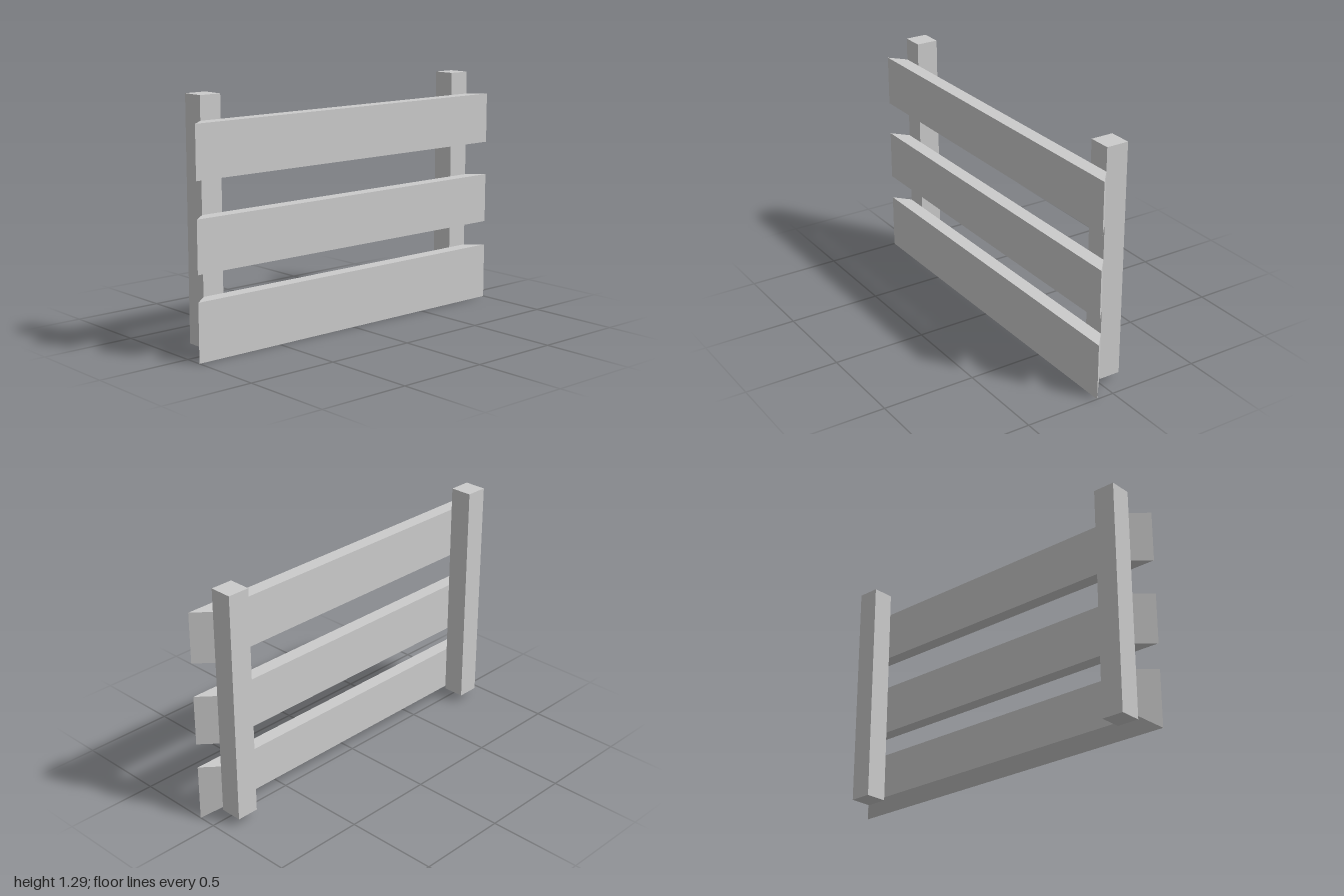
import * as THREE from 'three';

const BACK = 0.02, FRONT = 0.096; // x of the board's inner and outer faces

export function createModel() {
  const group = new THREE.Group();
  const material = new THREE.MeshStandardMaterial({ color: 0xcccccc, flatShading: true });

  // Two square posts
  for (const side of [-1, 1]) {
    const post = new THREE.Mesh(new THREE.BoxGeometry(0.12, 1.243, 0.12), material);
    post.position.set(-0.04, 0.6645, side * 0.854);
    post.name = side > 0 ? 'frontPost' : 'backPost';
    group.add(post);
  }

  // Boards with mitred ends; the inner lower edge may sit higher than the outer one
  const addBoard = (name, bottom, top, innerBottom = bottom) => {
    const geometry = new THREE.BoxGeometry(FRONT - BACK, top - bottom, 2);
    geometry.translate((FRONT + BACK) / 2, (top + bottom) / 2, 0);
    const p = geometry.attributes.position;
    for (let i = 0; i < p.count; i++) {
      if (p.getX(i) > (FRONT + BACK) / 2) continue;
      p.setZ(i, Math.sign(p.getZ(i)) * 0.914);
      if (p.getY(i) < (top + bottom) / 2) p.setY(i, innerBottom);
    }
    geometry.computeVertexNormals();
    const board = new THREE.Mesh(geometry, material);
    board.name = name;
    group.add(board);
  };
  addBoard('lowerBoard', 0, 0.303, 0.06);
  addBoard('middleBoard', 0.438, 0.708);
  addBoard('upperBoard', 0.892, 1.164);

  return group;
}
